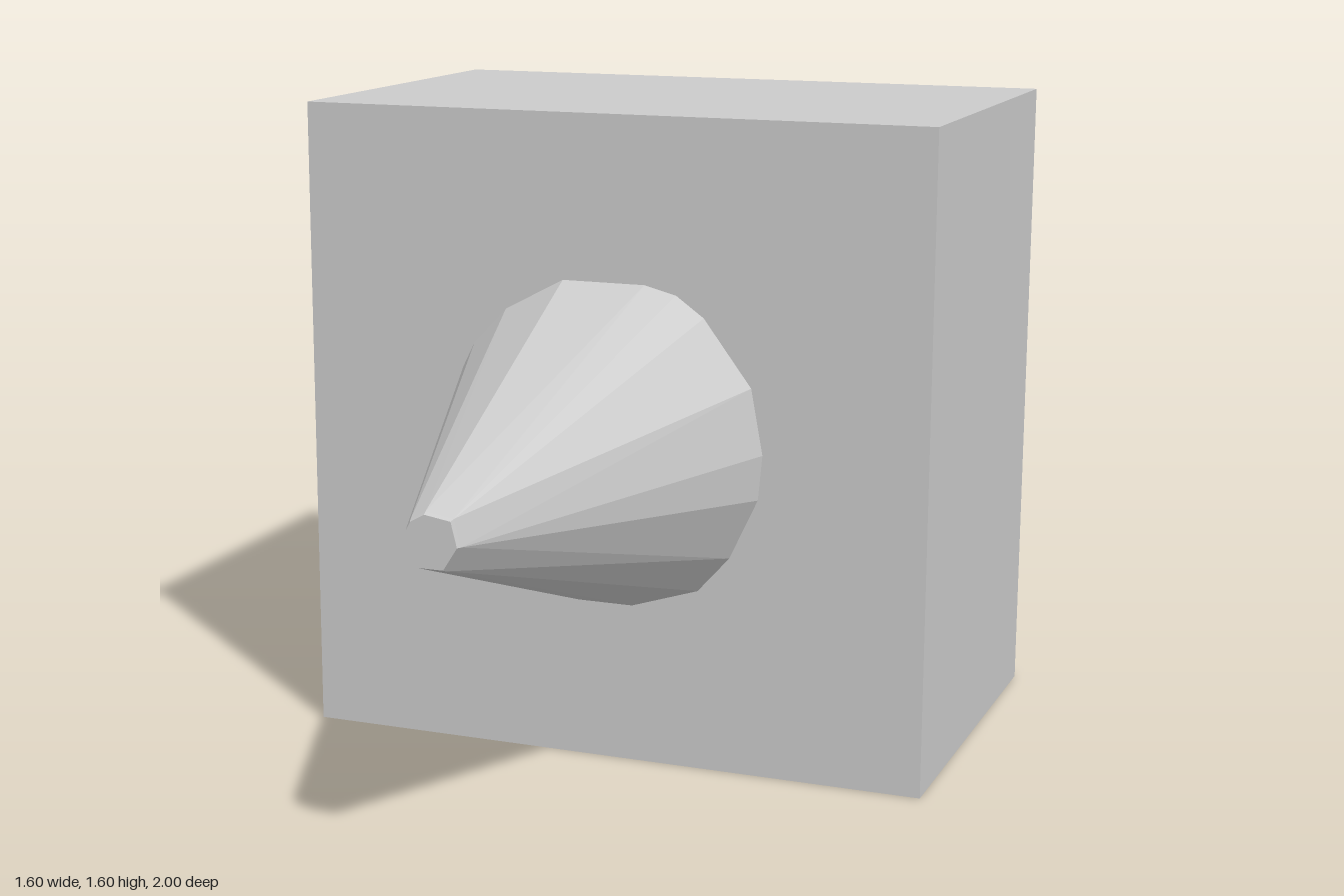
import * as THREE from 'three';
import { ConvexGeometry } from 'three/addons/geometries/ConvexGeometry.js';

const material = new THREE.MeshStandardMaterial({ color: 0xcccccc, flatShading: true });

// Outlines as [x, y], counter-clockwise seen from the front
const square = [[-0.8, 0], [0.8, 0], [0.8, 1.6], [-0.8, 1.6]];
const opening = [[-0.485, 0.33], [0.485, 0.31], [0.49, 1.27], [-0.02, 1.31], [-0.485, 1.27]];
const rim = [
  [-0.11, 1.2], [0.1, 1.2], [0.18, 1.18], [0.25, 1.13], [0.37, 0.97], [0.4, 0.81], [0.39, 0.7],
  [0.32, 0.55], [0.24, 0.46], [0.07, 0.405], [-0.07, 0.405], [-0.2, 0.445], [-0.33, 0.57],
  [-0.4, 0.73], [-0.4, 0.87], [-0.375, 0.97], [-0.345, 1.03], [-0.26, 1.12],
];
const tip = [
  [-0.05, 0.85], [-0.015, 0.87], [0.05, 0.86], [0.065, 0.8],
  [0.03, 0.745], [-0.03, 0.745], [-0.06, 0.78], [-0.06, 0.83],
];
const BACK = -1, POCKET = -0.22;

function add(group, name, geometry) {
  const mesh = new THREE.Mesh(geometry, material);
  mesh.name = name;
  group.add(mesh);
}

// Flat face looking backwards at depth z, with an optional hole
function rearFace(outline, z, hole) {
  const mirrored = (pts) => pts.map(([x, y]) => new THREE.Vector2(-x, y));
  const shape = new THREE.Shape(mirrored(outline));
  if (hole) shape.holes.push(new THREE.Path(mirrored(hole)));
  return new THREE.ShapeGeometry(shape).rotateY(Math.PI).translate(0, 0, z);
}

// Inward-facing walls between two depths
function innerWalls(outline, z0, z1) {
  const pos = [];
  outline.forEach((a, i) => {
    const b = outline[(i + 1) % outline.length];
    pos.push(...a, z0, ...a, z1, ...b, z1, ...a, z0, ...b, z1, ...b, z0);
  });
  const geometry = new THREE.BufferGeometry();
  geometry.setAttribute('position', new THREE.Float32BufferAttribute(pos, 3));
  geometry.computeVertexNormals();
  return geometry;
}

export function createModel() {
  const model = new THREE.Group();
  model.name = 'coneBlock';

  // Block sides and front; the last box face (the rear) is left out
  const shell = new THREE.BoxGeometry(1.6, 1.6, 1).translate(0, 0.8, -0.5);
  shell.setIndex(Array.from(shell.index.array).slice(0, 30));
  shell.clearGroups();
  add(model, 'blockShell', shell);

  // Rear frame and the pocket behind it
  add(model, 'rearFrame', rearFace(square, BACK, opening));
  add(model, 'pocketWalls', innerWalls(opening, BACK, POCKET));
  add(model, 'pocketEnd', rearFace(opening, POCKET));

  // Faceted cone: slightly narrowed base, irregular rim and blunt tip
  const ring = (pts, z, s = 1) =>
    pts.map(([x, y]) => new THREE.Vector3(x * s, 0.8 + (y - 0.8) * s, z));
  add(model, 'cone', new ConvexGeometry([
    ...ring(rim, 0, 0.98), ...ring(rim, 0.02), ...ring(tip, 0.99), ...ring(tip, 1, 0.93),
  ]));

  return model;
}
